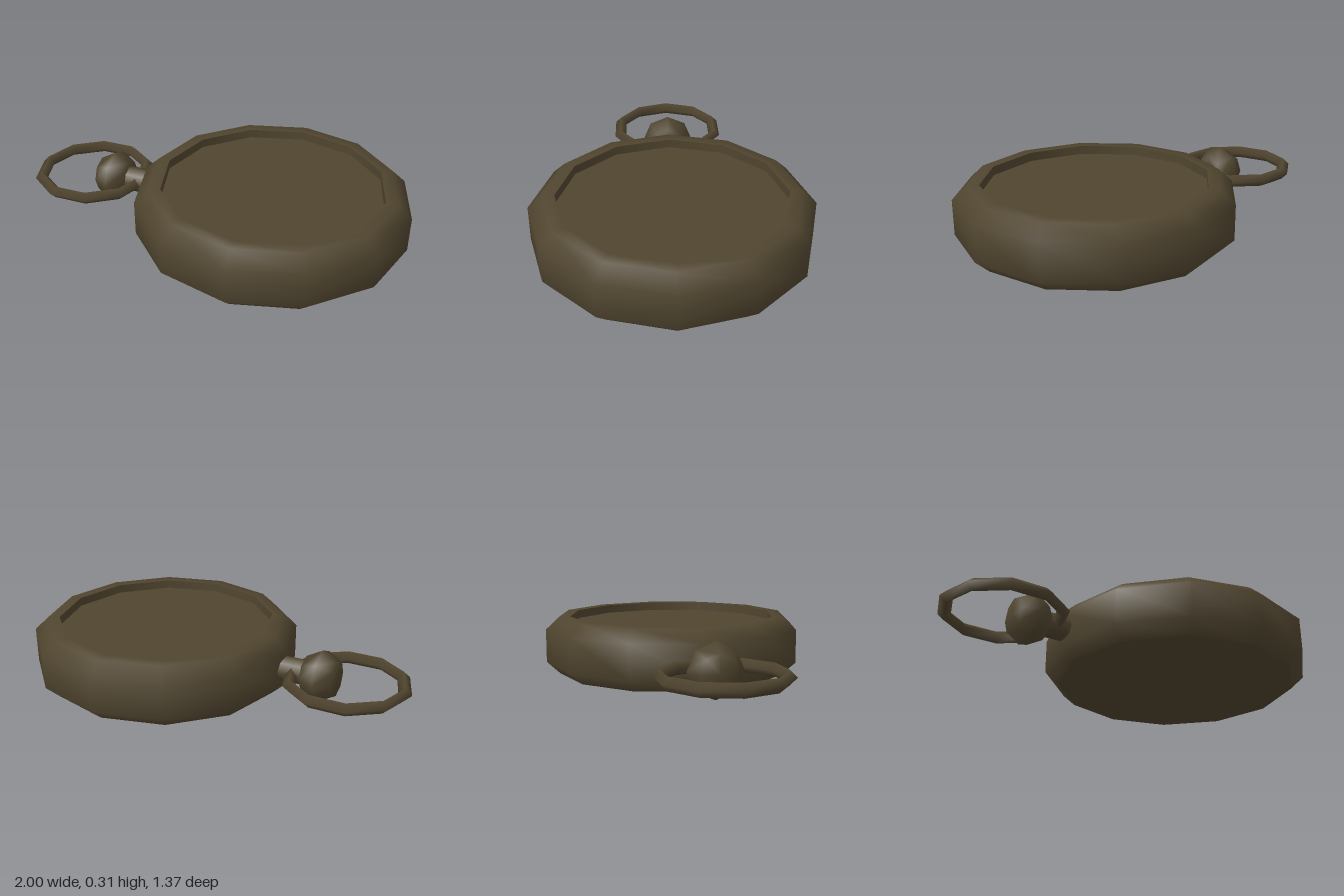
import * as THREE from 'three';

const bronze = new THREE.MeshStandardMaterial({ color: 0x50452f });
bronze.name = 'dark bronze';

const MID = 0.1525; // height of the centre plane
const CASE_X = 0.315;

function part(name, geometry, x, y, z = 0) {
  const mesh = new THREE.Mesh(geometry, bronze);
  mesh.name = name;
  mesh.position.set(x, y, z);
  return mesh;
}

// Lathe from [radius, height] pairs; twelve sides with a corner towards +x
function lathe(points, sides) {
  return new THREE.LatheGeometry(points.map(([r, y]) => new THREE.Vector2(r, y)), sides);
}

export function createModel() {
  const watch = new THREE.Group();
  watch.name = 'pocketWatch';

  // Twelve-sided case with chamfered edges and a flat rim
  watch.add(part('case', lathe([
    [0.615, 0], [0.685, 0.065], [0.685, 0.24], [0.615, 0.305], [0.555, 0.305],
  ], 12), CASE_X, 0));

  // Flat back cover
  const back = new THREE.CircleGeometry(0.615, 12);
  back.rotateX(Math.PI / 2);
  watch.add(part('backCover', back, CASE_X, 0));

  // Recessed dial and the wall around it
  watch.add(part('rimWall', lathe([[0.555, 0.305], [0.555, 0.26]], 12), CASE_X, 0));
  const dial = new THREE.CircleGeometry(0.555, 12);
  dial.rotateX(-Math.PI / 2);
  watch.add(part('dial', dial, CASE_X, 0.26));

  // Neck joining the crown to the case
  const neck = new THREE.CylinderGeometry(0.065, 0.065, 0.2, 8);
  neck.rotateZ(Math.PI / 2);
  watch.add(part('neck', neck, -0.4, MID));

  // Winding crown, a faceted bead turned about x
  const crown = lathe([
    [0, -0.08], [0.09, -0.08], [0.135, 0], [0.09, 0.08], [0, 0.08],
  ], 8);
  crown.rotateZ(Math.PI / 2);
  watch.add(part('crown', crown, -0.555, MID));

  // Ten-sided carrying ring with a diamond section
  const ring = new THREE.TorusGeometry(0.283, 0.0325, 4, 10);
  ring.rotateX(Math.PI / 2);
  watch.add(part('ring', ring, -0.685, MID));

  return watch;
}
